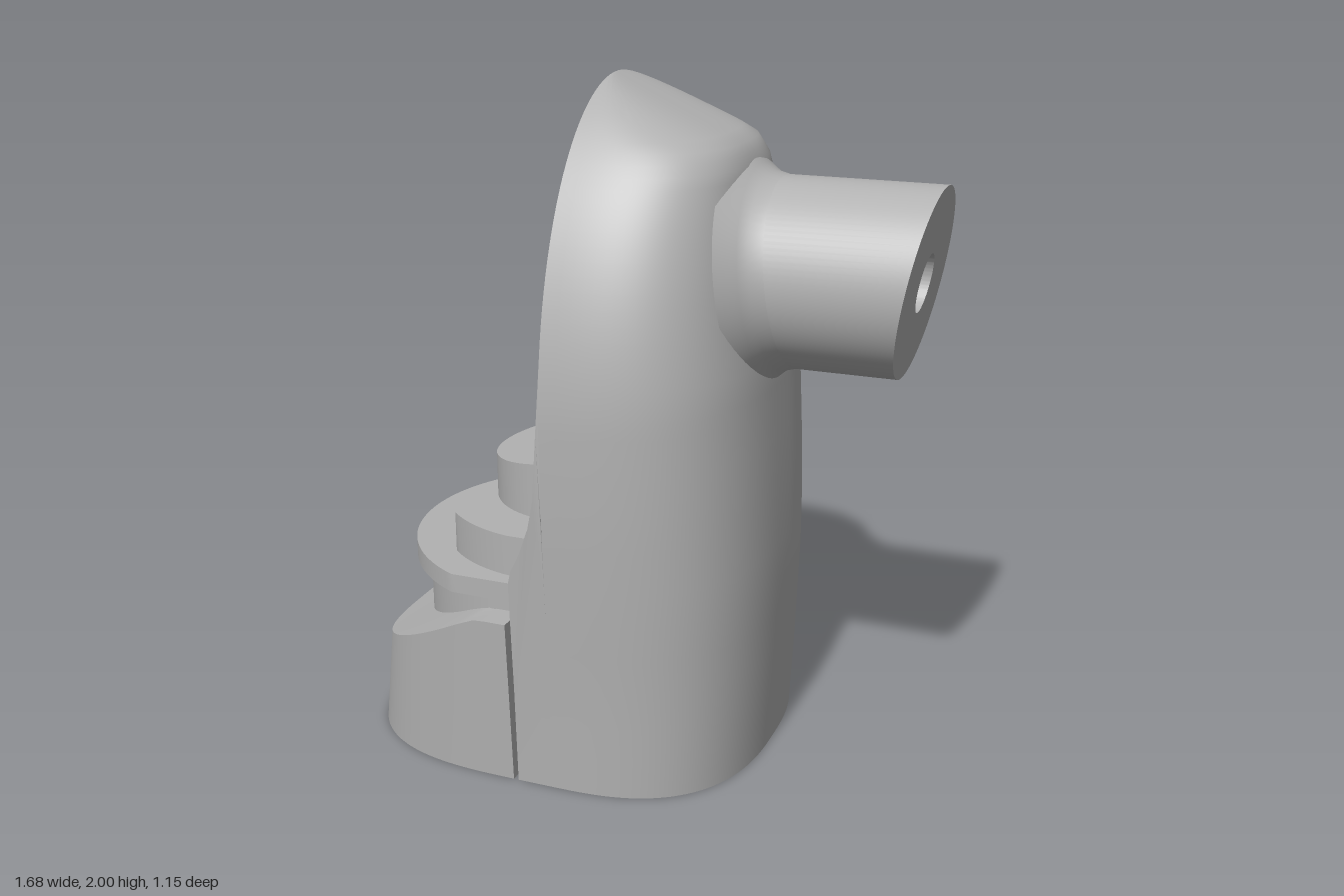
import * as THREE from 'three';
import { toCreasedNormals } from 'three/addons/utils/BufferGeometryUtils.js';

const BACK = -0.113, AXIS_X = -0.23, BORE_Y = 1.465, BORE_R = 0.083;
const V2 = (x, y) => new THREE.Vector2(x, y);

// linear interpolation through [key, value] pairs
function interp(table, k) {
  for (let i = 1; i < table.length; i++) {
    const [a, va] = table[i - 1], [b, vb] = table[i];
    if (k <= b) return va + (vb - va) * Math.max(0, (k - a) / (b - a));
  }
  return table[table.length - 1][1];
}

// half width and front depth of the upright body at each height
const WIDTH = [[0, 0.53], [0.3, 0.542], [0.6, 0.56], [0.85, 0.573], [1.1, 0.577]];
const FRONT = [[0, 0.39], [0.25, 0.402], [0.6, 0.412], [0.9, 0.402], [1.2, 0.385],
  [1.5, 0.345], [1.77, 0.302], [1.83, 0.268], [2, BACK]];
const halfWidth = y => y < 1.1 ? interp(WIDTH, y)
  : 0.577 * Math.sqrt(Math.max(0, 1 - ((y - 1.1) / 0.9) ** 2));

// point on a superellipse, angle -90..90 degrees
function superPoint(t, a, b, n) {
  const c = Math.max(0, Math.cos(t)), s = Math.sin(t);
  return [a * c ** (2 / n), b * Math.sign(s) * Math.abs(s) ** (2 / n)];
}

// surface through rows of points
function loft(rows, crease = 0.6) {
  const w = rows[0].length, index = [];
  for (let r = 0; r < rows.length - 1; r++) for (let i = 0; i < w - 1; i++) {
    const a = r * w + i, b = a + 1, c = a + w, d = c + 1;
    index.push(a, c, b, b, c, d);
  }
  const g = new THREE.BufferGeometry();
  g.setAttribute('position', new THREE.Float32BufferAttribute(rows.flat(2), 3));
  g.setIndex(index);
  return toCreasedNormals(g, crease);
}

// move every vertex by a rule
function reshape(g, rule) {
  const p = g.attributes.position, v = new THREE.Vector3();
  for (let i = 0; i < p.count; i++) {
    rule(v.fromBufferAttribute(p, i));
    p.setXYZ(i, v.x, v.y, v.z);
  }
  return g;
}

const circlePath = (x, y, r) => new THREE.Path().absarc(x, y, r, 0, Math.PI * 2, true);

// horizontal slab from a plan shape
function slab(shape, y0, y1) {
  const g = new THREE.ExtrudeGeometry(shape, { depth: y1 - y0, bevelEnabled: false, curveSegments: 48 });
  return g.rotateX(-Math.PI / 2).translate(0, y0, 0);
}

// disc around the vertical bore, cut flat at the sides and front
function cutDisc(r, xMin, zMax, hole = BORE_R) {
  const pts = [];
  for (let i = 0; i < 128; i++) {
    const t = i / 128 * Math.PI * 2;
    pts.push(V2(Math.max(xMin, AXIS_X + r * Math.cos(t)),
      THREE.MathUtils.clamp(r * Math.sin(t), -zMax, zMax)));
  }
  const s = new THREE.Shape(pts);
  s.holes.push(circlePath(AXIS_X, 0, hole));
  return s;
}

// lathe turned so its axis runs along x at the bore height
function turned(points) {
  const g = new THREE.LatheGeometry(points.map(([r, x]) => V2(r, x)), 64);
  return toCreasedNormals(g.rotateZ(-Math.PI / 2).translate(0, BORE_Y, 0), 0.7);
}

export function createModel() {
  const group = new THREE.Group();
  const grey = new THREE.MeshStandardMaterial({ name: 'grey', color: 0xb2b2b2, side: THREE.DoubleSide });
  const add = (name, geometry) => {
    const m = new THREE.Mesh(geometry, grey);
    m.name = name;
    group.add(m);
  };

  // upright body with arched, sloping top
  const heights = [];
  for (let i = 0; i < 11; i++) heights.push(i * 0.11);
  for (let i = 1; i <= 32; i++) heights.push(1.1 + 0.9 * Math.sin(i / 32 * Math.PI / 2));
  add('uprightBody', loft(heights.map(y => {
    const row = [];
    for (let i = 0; i <= 64; i++) {
      const [x, z] = superPoint((i / 32 - 1) * Math.PI / 2, interp(FRONT, y) - BACK, halfWidth(y), 2.7);
      row.push([BACK + x, y, z]);
    }
    return row;
  }), 0.9));

  // flat rear face with round opening
  const face = new THREE.Shape([...heights.map(y => V2(halfWidth(y), y)),
    ...heights.slice(0, -1).reverse().map(y => V2(-halfWidth(y), y))]);
  face.holes.push(circlePath(0, BORE_Y, 0.3));
  add('rearFace', new THREE.ShapeGeometry(face, 48).rotateY(-Math.PI / 2).translate(BACK, 0, 0));
  add('rearRecess', turned([[0.3, BACK], [0.3, -0.02], [0.13, -0.02], [0.13, 0.06], [BORE_R, 0.06]]));

  // side flanges reaching back to the cover
  const flange = new THREE.Shape([[BACK, 0], [-0.225, 0], [-0.225, 0.3], [-0.225, 0.64], [-0.215, 0.68],
    [-0.185, 0.74], [-0.155, 0.82], [-0.138, 0.9], [-0.122, 1.1], [BACK, 1.35],
    [BACK, 1.1], [BACK, 0.85], [BACK, 0.6], [BACK, 0.3]].map(p => V2(...p)));
  for (const side of [1, -1]) {
    const g = new THREE.ExtrudeGeometry(flange, { depth: 1, bevelEnabled: false });
    reshape(g, v => {
      const outer = halfWidth(v.y);
      v.z = side * (v.z > 0.5 ? outer : Math.min(0.515, outer - 0.03));
    });
    if (side < 0) reshape(g, () => {});
    g.computeVertexNormals();
    add(side > 0 ? 'frontFlange' : 'backFlange', toCreasedNormals(g, 0.6));
  }

  // horizontal pipe with slanted end
  const ring = new THREE.Shape().absarc(0, BORE_Y, 0.27, 0, Math.PI * 2, false);
  ring.holes.push(circlePath(0, BORE_Y, BORE_R));
  const pipe = new THREE.ExtrudeGeometry(ring, { depth: 1, bevelEnabled: false, curveSegments: 48 });
  pipe.rotateY(Math.PI / 2);
  reshape(pipe, v => { v.x = v.x > 0.5 ? 0.7875 + (v.y - BORE_Y) * 0.176 : 0.06; });
  add('pipe', toCreasedNormals(pipe, 0.6));
  add('pipeFillet', reshape(turned([[0.345, 0.3], [0.3, 0.352], [0.28, 0.378], [0.269, 0.42]]),
    v => { v.x -= (v.y - BORE_Y) * 0.13; }));

  // low wrap-around cover with sloped rim
  const rimY = x => Math.min(0.51, 0.28 + (x + 0.8) * 0.51, 0.4 + (x + 0.6) * 0.42);
  const sections = [];
  for (let i = 0; i <= 64; i++) {
    const t = (i / 32 - 1) * Math.PI / 2;
    const at = y => {
      const [x, z] = superPoint(t, 0.6 - 0.14 * y, 0.53 + 0.06 * y, 2.8);
      return [-0.24 - x, y, z];
    };
    const top = at(rimY(at(0.35)[0]));
    const ix = -0.24 - 0.465 * Math.cos(t), iz = 0.467 * Math.sin(t);
    sections.push([at(0), top, [ix, rimY(ix), iz], [ix, 0, iz], at(0)]);
  }
  const endCap = s => s.map(() => [0, 1, 2].map(k => (s[0][k] + s[1][k] + s[2][k] + s[3][k]) / 4));
  add('cover', loft([endCap(sections[0]), ...sections, endCap(sections[64])], 0.5));

  // floor plate with round bore and two curved grooves
  const half = [];
  for (let i = 0; i <= 24; i++) {
    const [x, z] = superPoint(i / 24 * Math.PI / 2, 0.5, 0.527, 2.7);
    half.push([BACK + x, z]);
  }
  half.push([BACK, 0.47], [-0.24, 0.47]);
  for (let i = 24; i >= 0; i--) {
    const [x, z] = superPoint(i / 24 * Math.PI / 2, 0.595, 0.525, 2.8);
    half.push([-0.24 - x, z]);
  }
  const floor = new THREE.Shape([...half.map(p => V2(...p)),
    ...half.slice(1, -1).reverse().map(([x, z]) => V2(x, -z))]);
  floor.holes.push(circlePath(AXIS_X, 0, 0.125));
  for (const mid of [0, Math.PI]) {
    const groove = new THREE.Path();
    groove.absarc(AXIS_X, 0, 0.325, mid - 0.9, mid + 0.9, false);
    groove.absarc(AXIS_X, 0, 0.3, mid + 0.9, mid - 0.9, true);
    floor.holes.push(groove);
  }
  add('floorPlate', toCreasedNormals(slab(floor, 0.002, 0.03), 0.5));

  // stacked mount: plinth, disc and stepped block
  const stack = [['plinth', 0.48, -2, 0.47, 0.03, 0.54], ['disc', 0.522, -2, 0.472, 0.54, 0.597],
    ['steppedBlock', 0.425, -0.525, 0.42, 0.597, 0.72]];
  for (const [name, r, xMin, zMax, y0, y1] of stack)
    add(name, toCreasedNormals(slab(cutDisc(r, xMin, zMax), y0, y1), 0.5));

  // boss with tilted top, flaring into the rear face
  const boss = new THREE.Shape();
  boss.moveTo(BACK + 0.01, 0.3);
  boss.quadraticCurveTo(-0.12, 0.268, -0.16, 0.268);
  boss.lineTo(AXIS_X, 0.27);
  boss.absarc(AXIS_X, 0, 0.27, Math.PI / 2, Math.PI * 1.5, false);
  boss.lineTo(-0.16, -0.268);
  boss.quadraticCurveTo(-0.12, -0.268, BACK + 0.01, -0.3);
  boss.holes.push(circlePath(AXIS_X, 0, BORE_R));
  add('boss', toCreasedNormals(reshape(slab(boss, 0.72, 0.85),
    v => { if (v.y > 0.8) v.y += 0.17 * (v.x + 0.5); }), 0.5));

  return group;
}
